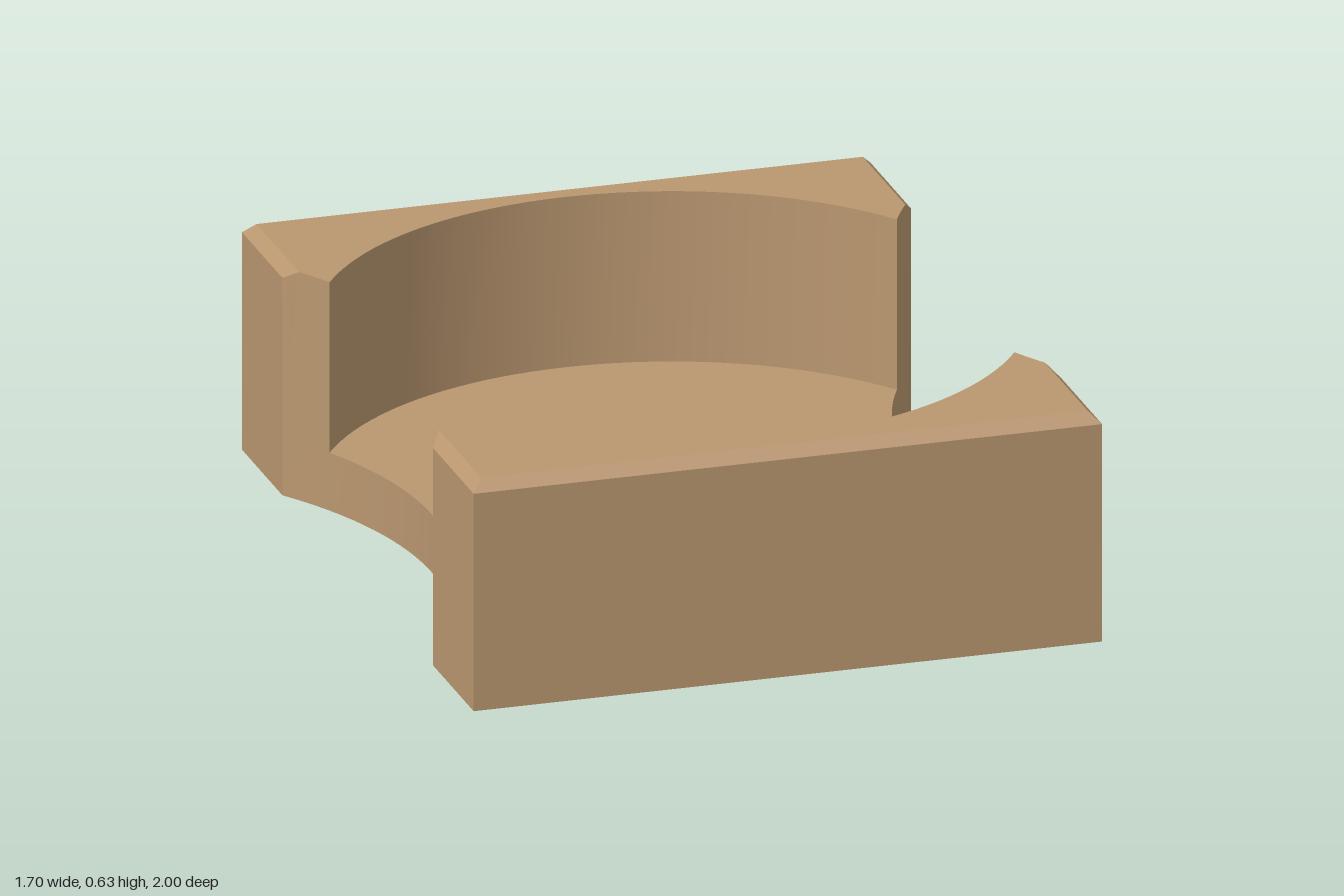
import * as THREE from 'three';
import { toCreasedNormals } from 'three/addons/utils/BufferGeometryUtils.js';

const HALF_W = 0.85, HALF_L = 1, HEIGHT = 0.63, FLOOR = 0.16, BEVEL = 0.03;
const SCALLOP_R = 1.15625, SCALLOP_X = 1.80625; // side cut-outs
const POCKET_R = 0.92;                          // round recess

// Where the scallop meets the recess
const MEET_X = (SCALLOP_X ** 2 + POCKET_R ** 2 - SCALLOP_R ** 2) / (2 * SCALLOP_X);
const MEET_Z = Math.sqrt(POCKET_R ** 2 - MEET_X ** 2);

// Plan points are [x, z]; loops run counter-clockwise seen from above
const scallopZ = (x) => Math.sqrt(SCALLOP_R ** 2 - (SCALLOP_X - x) ** 2);
const scallop = (side, z0, z1, n) => Array.from({ length: n + 1 }, (_, i) => {
  const z = z0 + (z1 - z0) * i / n;
  return [side * (SCALLOP_X - Math.sqrt(SCALLOP_R ** 2 - z * z)), z];
});
// Recess arc at the front (end = 1) or back (end = -1), from left to right or reversed
const pocketArc = (end, dir, n = 40) => {
  const a = Math.atan2(MEET_X, MEET_Z);
  return Array.from({ length: n + 1 }, (_, i) => {
    const t = dir * a * (2 * i / n - 1);
    return [POCKET_R * Math.sin(t), end * POCKET_R * Math.cos(t)];
  });
};
const at = (loop, y) => loop.map(([x, z]) => [x, y, z]);

// Upright band between two rows of points
function wall(out, low, high) {
  for (let i = 0; i + 1 < low.length; i++) {
    out.push(...low[i], ...low[i + 1], ...high[i + 1], ...low[i], ...high[i + 1], ...high[i]);
  }
}

// Flat horizontal face filling a loop
function cap(out, loop, y, down = false) {
  const faces = THREE.ShapeUtils.triangulateShape(loop.map(([x, z]) => new THREE.Vector2(x, -z)), []);
  for (const f of faces) {
    for (const i of down ? [f[0], f[2], f[1]] : f) out.push(loop[i][0], y, loop[i][1]);
  }
}

function makeMesh(name, positions, material) {
  const g = new THREE.BufferGeometry();
  g.setAttribute('position', new THREE.Float32BufferAttribute(positions, 3));
  const mesh = new THREE.Mesh(toCreasedNormals(g, 0.3), material);
  mesh.name = name;
  return mesh;
}

// Outer edge of one end block, inset by the bevel
function blockOutline(inset) {
  const w = HALF_W - inset, l = HALF_L - inset, z = scallopZ(w);
  return [...scallop(-1, MEET_Z, z, 6), [-w, l], [w, l], ...scallop(1, z, MEET_Z, 6)];
}

function endBlockPositions() {
  const out = [];
  const outer = blockOutline(0), inner = blockOutline(BEVEL), arc = pocketArc(1, -1);
  wall(out, at(outer, 0), at(outer, HEIGHT - BEVEL));
  wall(out, at(outer, HEIGHT - BEVEL), at(inner, HEIGHT));
  wall(out, at(arc, FLOOR), at(arc, HEIGHT));
  cap(out, [...inner, ...arc.slice(1, -1)], HEIGHT);
  return out;
}

export function createModel() {
  const model = new THREE.Group();
  model.name = 'recessedBlock';
  const wood = new THREE.MeshStandardMaterial({ color: 0xba9770 });
  wood.name = 'tan';

  // Matching raised ends
  const front = makeMesh('frontEndBlock', endBlockPositions(), wood);
  const back = front.clone();
  back.name = 'backEndBlock';
  back.rotation.y = Math.PI;

  // Recess floor and the thin scalloped sides beside it
  const floor = [];
  const left = scallop(-1, -MEET_Z, MEET_Z, 24), right = scallop(1, MEET_Z, -MEET_Z, 24);
  wall(floor, at(left, 0), at(left, FLOOR));
  wall(floor, at(right, 0), at(right, FLOOR));
  cap(floor, [...left, ...pocketArc(1, 1).slice(1, -1), ...right, ...pocketArc(-1, -1).slice(1, -1)], FLOOR);

  // Underside over the whole outline
  const base = [];
  const frontEdge = blockOutline(0);
  const backEdge = frontEdge.map(([x, z]) => [-x, -z]);
  cap(base, [...left.slice(1, -1), ...frontEdge, ...right.slice(1, -1), ...backEdge], 0, true);

  model.add(front, back, makeMesh('recessFloor', floor, wood), makeMesh('underside', base, wood));
  return model;
}
